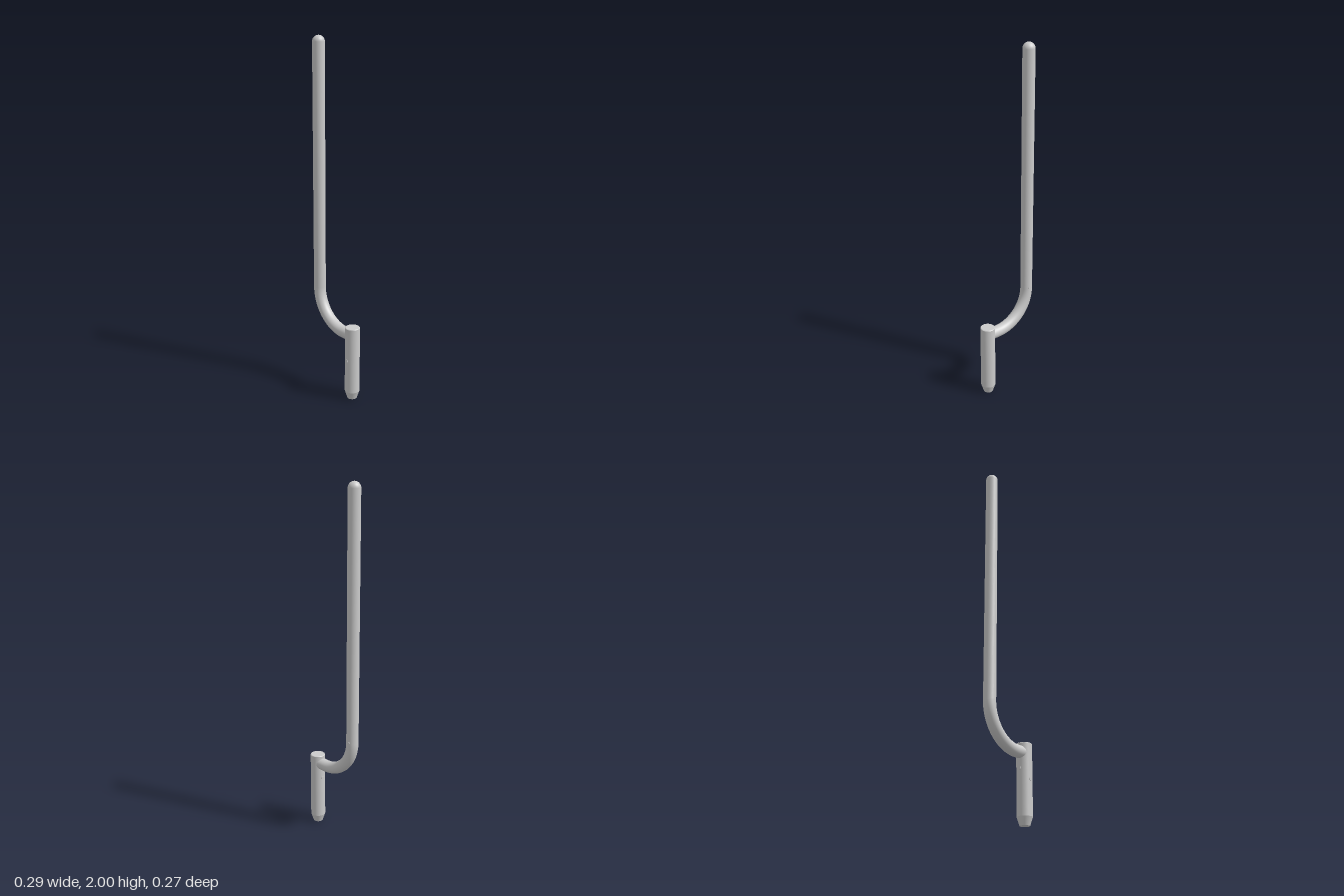
import * as THREE from 'three';

const material = new THREE.MeshStandardMaterial({ color: 0xcccccc });

export function createModel() {
  const model = new THREE.Group();
  model.name = 'offsetRod';

  const add = (name, geometry, x = 0, y = 0, z = 0) => {
    const mesh = new THREE.Mesh(geometry, material);
    mesh.name = name;
    mesh.position.set(x, y, z);
    model.add(mesh);
    return mesh;
  };

  const rodR = 0.034, pegR = 0.042, pegTop = 0.43;
  const offset = 0.285;             // peg axis to rod axis
  const armY = 0.378, bendR = 0.215;
  const bendTop = armY + bendR;

  // Peg: separate lathe bands keep the chamfer edges sharp
  const profile = [[0, 0], [0.027, 0], [pegR, 0.045], [pegR, pegTop - 0.003], [pegR - 0.003, pegTop], [0, pegTop]];
  for (let i = 0; i < profile.length - 1; i++) {
    const band = [profile[i], profile[i + 1]].map(([r, y]) => new THREE.Vector2(r, y));
    add('peg', new THREE.LatheGeometry(band, 48));
  }

  // Short arm leaving the peg, then a quarter bend up into the rod
  const armLength = offset - bendR;
  add('arm', new THREE.CylinderGeometry(rodR, rodR, armLength, 40, 1, true).rotateZ(Math.PI / 2), armLength / 2, armY);
  add('bend', new THREE.TorusGeometry(bendR, rodR, 40, 32, Math.PI / 2).rotateZ(-Math.PI / 2), armLength, bendTop);

  // Long straight rod with a domed tip
  const rodLength = 2 - rodR - bendTop;
  add('rod', new THREE.CylinderGeometry(rodR, rodR, rodLength, 40, 1, true), offset, bendTop + rodLength / 2);
  add('rodTip', new THREE.SphereGeometry(rodR, 40, 16, 0, Math.PI * 2, 0, Math.PI / 2), offset, 2 - rodR);

  // Tiny locating pins, almost flush with the surfaces
  const pin = () => new THREE.CylinderGeometry(0.01, 0.01, 0.012, 20);
  add('rodPin', pin().rotateX(Math.PI / 2), offset, 0.6, rodR - 0.005);
  add('pegPin', pin().rotateZ(Math.PI / 2), pegR - 0.004, 0.29, 0);
  add('pegPin', pin().rotateX(Math.PI / 2), 0, 0.235, -pegR + 0.004);

  // Swing the bend plane to run diagonally, and centre the whole
  model.rotation.y = Math.atan2(0.191, -0.212);
  model.position.set(0.101, 0, 0.09);

  const root = new THREE.Group();
  root.add(model);
  return root;
}
